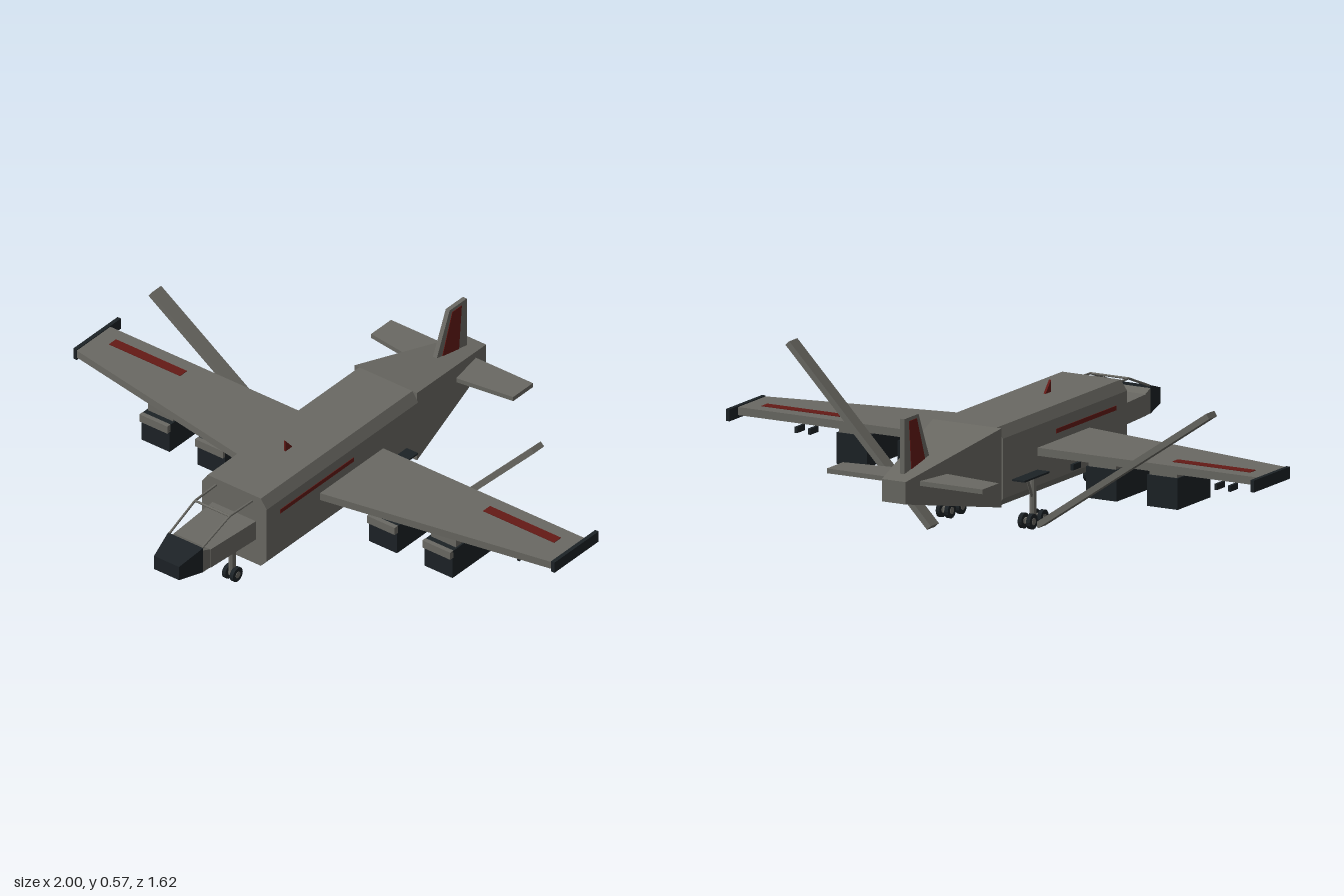
import * as THREE from 'three';

const paint = (color) => new THREE.MeshStandardMaterial({ color, flatShading: true, side: THREE.DoubleSide });
const hull = paint(0x6a6963), dark = paint(0x1c2226), red = paint(0x641a16);

export function createModel() {
  const model = new THREE.Group();

  const add = (name, geometry, material = hull) => {
    const mesh = new THREE.Mesh(geometry, material);
    mesh.name = name;
    model.add(mesh);
    return mesh;
  };

  // Box given by its minimum and maximum on each axis
  const box = (name, x0, x1, y0, y1, z0, z1, material) => {
    const g = new THREE.BoxGeometry(Math.abs(x1 - x0), y1 - y0, z1 - z0);
    return add(name, g.translate((x0 + x1) / 2, (y0 + y1) / 2, (z0 + z1) / 2), material);
  };

  const outline = (points) => new THREE.Shape(points.map(([a, b]) => new THREE.Vector2(a, b)));

  // Flat slab from a plan outline of [x, z] points
  const planSlab = (name, points, y0, y1, material) => {
    const g = new THREE.ExtrudeGeometry(outline(points), { depth: y1 - y0, bevelEnabled: false });
    return add(name, g.rotateX(Math.PI / 2).translate(0, y1, 0), material);
  };

  // Upright slab, centred on x = 0, from a side outline of [z, y] points
  const sideSlab = (name, points, width, material) => {
    const g = new THREE.ExtrudeGeometry(outline(points), { depth: width, bevelEnabled: false });
    return add(name, g.rotateY(-Math.PI / 2).translate(width / 2, 0, 0), material);
  };

  // Closed body between two rings of [x, y], each counterclockwise seen from the front
  const loft = (name, back, zBack, front, zFront, material) => {
    const v = [], n = back.length;
    const b = (i) => [...back[i % n], zBack], f = (i) => [...front[i % n], zFront];
    for (let i = 0; i < n; i++) v.push(b(i), b(i + 1), f(i + 1), b(i), f(i + 1), f(i));
    for (let i = 1; i < n - 1; i++) v.push(f(0), f(i), f(i + 1), b(0), b(i + 1), b(i));
    const g = new THREE.BufferGeometry();
    g.setAttribute('position', new THREE.Float32BufferAttribute(v.flat(), 3));
    g.computeVertexNormals();
    return add(name, g, material);
  };

  // Eight-sided body section with small chamfers
  const section = (w, y0, y1) => {
    const h = y1 - y0, c = w * 0.82, lo = y0 + h * 0.11, hi = y1 - h * 0.13;
    return [[-c, y0], [c, y0], [w, lo], [w, hi], [c, y1], [-c, y1], [-w, hi], [-w, lo]];
  };
  const rect = (w, y0, y1) => [[-w, y0], [w, y0], [w, y1], [-w, y1]];

  // Thin rod between two points
  const rod = (name, a, b, radius, material) => {
    const p = new THREE.Vector3(...a), q = new THREE.Vector3(...b);
    const mesh = add(name, new THREE.CylinderGeometry(radius, radius, p.distanceTo(q), 8), material);
    mesh.position.copy(p).lerp(q, 0.5);
    mesh.quaternion.setFromUnitVectors(new THREE.Vector3(0, 1, 0), q.sub(p).normalize());
  };

  // Fuselage, tail cone, cockpit and nose
  loft('fuselage', section(0.135, 0.155, 0.42), -0.34, section(0.135, 0.155, 0.42), 0.455);
  loft('tailCone', rect(0.045, 0.25, 0.325), -0.81, rect(0.13, 0.155, 0.42), -0.34);
  loft('cockpitTub', rect(0.09, 0.25, 0.322), 0.455, rect(0.076, 0.25, 0.322), 0.675);
  loft('noseBase', rect(0.074, 0.25, 0.322), 0.675, rect(0.072, 0.25, 0.335), 0.71);
  loft('noseCone', rect(0.073, 0.25, 0.345), 0.71, rect(0.052, 0.263, 0.315), 0.81, dark);

  // Open canopy frame
  for (const s of [-1, 1]) {
    rod('canopyRail', [s * 0.075, 0.396, 0.455], [s * 0.072, 0.396, 0.57], 0.004);
    rod('canopyRail', [s * 0.072, 0.396, 0.57], [s * 0.068, 0.343, 0.71], 0.004);
  }
  rod('canopyCrossbar', [-0.072, 0.396, 0.57], [0.072, 0.396, 0.57], 0.004);

  // Tail fin with inset panels, and dorsal blade
  sideSlab('tailFin', [[-0.59, 0.35], [-0.665, 0.52], [-0.755, 0.52], [-0.755, 0.31], [-0.6, 0.31]], 0.016);
  sideSlab('finPanel', [[-0.625, 0.36], [-0.678, 0.508], [-0.727, 0.508], [-0.712, 0.34]], 0.02, red);
  sideSlab('dorsalBlade', [[0.19, 0.415], [0.19, 0.46], [0.15, 0.415]], 0.008, red);

  for (const s of [-1, 1]) {
    // Wings, tips and tailplane
    planSlab('wing', [[s * 0.148, 0.192], [s * 0.99, 0.036], [s * 0.99, -0.14], [s * 0.148, -0.14]], 0.29, 0.317);
    box('wingTip', s * 0.986, s, 0.28, 0.32, -0.195, 0.037, dark);
    box('wingStripe', s * 0.63, s * 0.925, 0.316, 0.319, -0.092, -0.056, red);
    box('sideStripe', s * 0.134, s * 0.137, 0.335, 0.35, 0, 0.385, red);
    planSlab('tailplane', [[s * 0.03, -0.6], [s * 0.295, -0.636], [s * 0.295, -0.74], [s * 0.03, -0.74]], 0.3, 0.316);

    // Engine nacelles hung below the wing
    for (const x of [0.357, 0.588]) {
      const a = s * (x - 0.058), b = s * (x + 0.058);
      box('nacelle', a, b, 0.157, 0.262, -0.085, 0.125, dark);
      box('nacelleCover', s * (x - 0.052), s * (x + 0.052), 0.26, 0.292, -0.08, 0.1);
      box('intakeLip', a, b, 0.235, 0.263, 0.12, 0.137);
    }

    // Small pods under the wing
    for (const x of [0.225, 0.77, 0.82]) box('underwingPod', s * (x - 0.005), s * (x + 0.005), 0.232, 0.252, -0.05, 0, dark);
  }

  // Long tilted flap bars
  const flap = (x0, y0, x1, y1) => {
    const g = new THREE.BoxGeometry(Math.hypot(x1 - x0, y1 - y0), 0.02, 0.052);
    const mesh = add('flapBar', g);
    mesh.position.set((x0 + x1) / 2, (y0 + y1) / 2, -0.167);
    mesh.rotation.z = Math.atan2(y1 - y0, x1 - x0);
  };
  flap(-0.823, 0.513, -0.175, 0.07);
  flap(0.232, 0.013, 0.768, 0.568);

  // Landing gear: bay plate, strut, axles and paired wheels
  const gear = (name, x, z, plate, wheelZs) => {
    box(name + 'BayPlate', x - plate.w, x + plate.w, 0.232, 0.238, plate.z0, plate.z1, dark);
    rod(name + 'Strut', [x, 0.09, z], [x, 0.235, z], 0.012);
    box(name + 'Fork', x - 0.006, x + 0.006, 0.082, 0.1, Math.min(...wheelZs) - 0.01, Math.max(...wheelZs) + 0.01);
    for (const wz of wheelZs) {
      for (const s of [-1, 1]) {
        const tyre = new THREE.CylinderGeometry(0.026, 0.026, 0.014, 16).rotateZ(Math.PI / 2);
        add(name + 'Wheel', tyre.translate(x + s * 0.016, 0.088, wz), dark);
        const hub = new THREE.CylinderGeometry(0.012, 0.012, 0.017, 12).rotateZ(Math.PI / 2);
        add(name + 'Hub', hub.translate(x + s * 0.016, 0.088, wz));
      }
    }
  };
  gear('noseGear', 0, 0.465, { w: 0.03, z0: 0.42, z1: 0.55 }, [0.465]);
  for (const s of [-1, 1]) {
    gear('mainGear', s * 0.155, -0.18, { w: 0.027, z0: -0.28, z1: -0.12 }, [-0.145, -0.215]);
    rod('mainGearBrace', [s * 0.155, 0.16, -0.185], [s * 0.155, 0.235, -0.22], 0.005);
  }
  return model;
}
